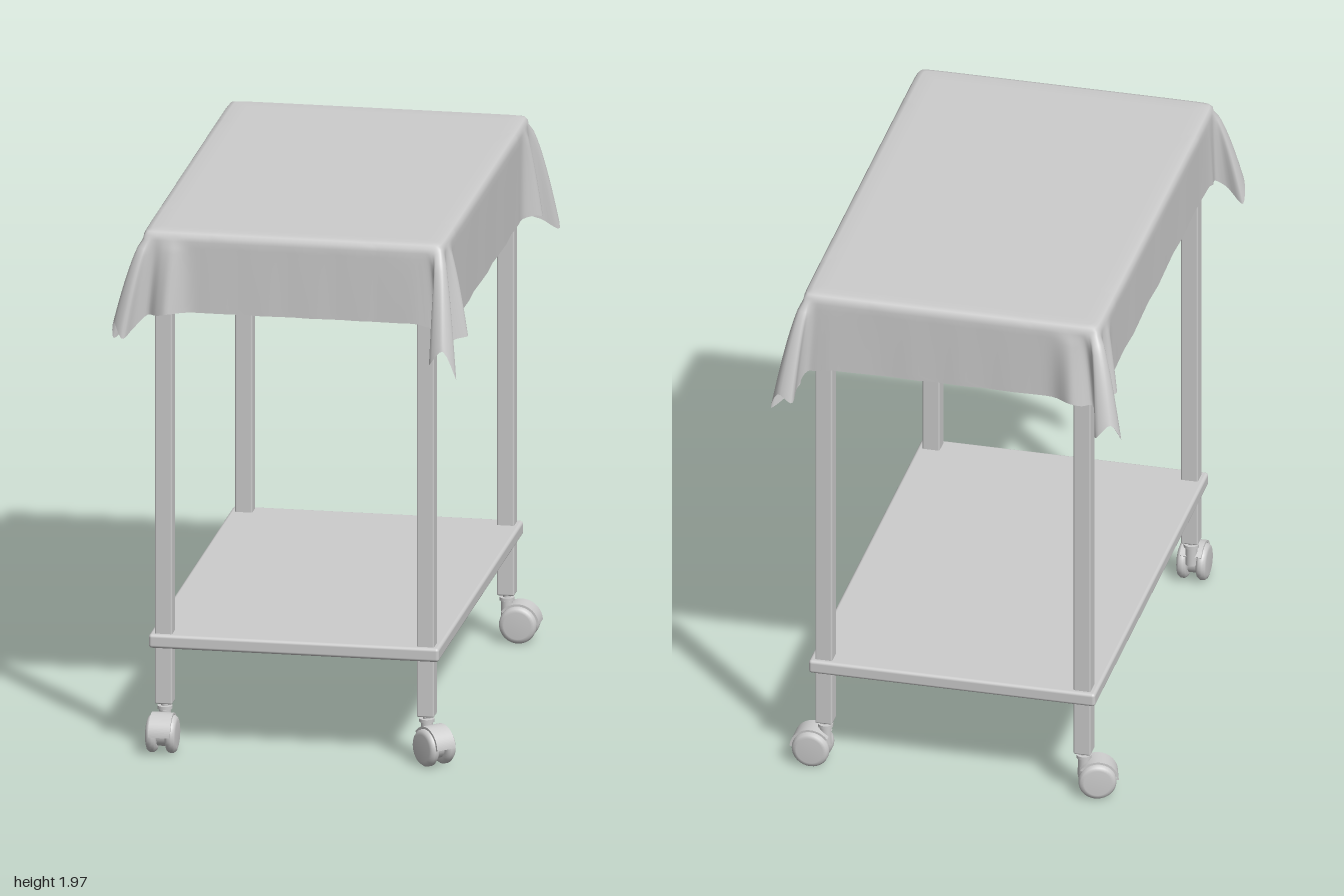
import * as THREE from 'three';
import { RoundedBoxGeometry } from 'three/addons/geometries/RoundedBoxGeometry.js';

const grey = new THREE.MeshStandardMaterial({ color: 0xcccccc, side: THREE.DoubleSide });
grey.name = 'plain grey';

function add(parent, name, geometry, x = 0, y = 0, z = 0) {
  const mesh = new THREE.Mesh(geometry, grey);
  mesh.name = name;
  mesh.position.set(x, y, z);
  parent.add(mesh);
  return mesh;
}

// How the cloth falls at each corner: bulges beside it, reach of the hanging flap, extra drop
const CORNERS = [
  { sx: 1, sz: 1, xBulge: 0.075, zBulge: 0.005, tip: [0.015, 0.1], tipDrop: 0.14 },
  { sx: -1, sz: 1, xBulge: 0.01, zBulge: 0.045, tip: [0.078, 0.04], tipDrop: 0.12 },
  { sx: -1, sz: -1, xBulge: 0.045, zBulge: 0.04, tip: [0.055, 0.085], tipDrop: 0.12 },
  { sx: 1, sz: -1, xBulge: 0.06, zBulge: 0.005, tip: [0.05, 0.092], tipDrop: 0.11 },
];

// Hem outline round a corner: [outward x, extra drop, outward z, position along the edge]
function foldPoints({ xBulge, zBulge, tip: [tx, tz], tipDrop }) {
  const l = Math.hypot(tx, tz), px = 0.05 * tz / l, pz = -0.05 * tx / l;
  return [
    [0, 0, -0.26, -0.26], [0.003, 0, -0.17, -0.18], [xBulge * 0.6, 0, -0.12, -0.14],
    [xBulge, 0.01, -0.085, -0.11], [xBulge * 0.5, 0.015, -0.055, -0.08],
    [0.005, 0.03, -0.02, -0.055], [tx * 0.4 + px * 0.4, 0.06, tz * 0.4 + pz * 0.4, -0.04],
    [tx + px, tipDrop, tz + pz, -0.022], [tx * 1.18, 0.04, tz * 1.18, 0],
    [tx - px, tipDrop - 0.03, tz - pz, 0.022], [tx * 0.4 - px * 0.4, 0.06, tz * 0.4 - pz * 0.4, 0.04],
    [-0.025, 0.015, 0.004, 0.06], [-0.06, 0.01, zBulge * 0.7, 0.09], [-0.1, 0, zBulge, 0.12],
    [-0.17, 0, 0.003, 0.18], [-0.26, 0, 0, 0.26],
  ];
}

// Tablecloth: rings running from the middle of the top, over the edge and down to the hem
function clothGeometry() {
  const W = 0.557, D = 0.882, TOP = 1.97, N = 64, MID = 10;
  const around = [];
  const corners = CORNERS.map((corner, c) => {
    const { sx, sz } = corner, fold = foldPoints(corner);
    const hemCurve = new THREE.CatmullRomCurve3(fold.map(p => new THREE.Vector3(p[0], p[1], p[2])));
    const edgeCurve = new THREE.CatmullRomCurve3(fold.map(p => new THREE.Vector3(p[3], 0, 0)));
    const list = [];
    for (let i = 0; i <= N; i++) {
      const h = hemCurve.getPoint(i / N), e = edgeCurve.getPoint(i / N).x;
      const r = Math.sqrt(e * e + 0.0003);
      const sideDrop = sx > 0 ? 0.35 : 0.29;
      const drop = THREE.MathUtils.lerp(sideDrop, 0.3, THREE.MathUtils.smoothstep(e, -0.06, 0.06));
      list.push([
        sx * (W - (e + r) / 2), sz * (D - (r - e) / 2),
        sx * (W + h.x), sz * (D + h.z), drop + h.y,
      ]);
    }
    return c % 2 ? list.reverse() : list;
  });
  corners.forEach((list, c) => {
    around.push(...list);
    const a = list[N], b = corners[(c + 1) % 4][0];
    for (let i = 1; i < MID; i++) {
      const p = a.map((v, k) => THREE.MathUtils.lerp(v, b[k], i / MID));
      p[c % 2 ? 2 : 3] += 0.003 * Math.sin(i * 2.1 + c);
      around.push(p);
    }
  });

  const pos = [0, TOP, 0], index = [], n = around.length;
  // Rounded top edge as [inset, drop], then the hanging part
  const rings = [[0.08, 0], [0.03, 0], [0.012, 0.006], [0.003, 0.018]].map(([inset, drop]) =>
    p => [p[0] * (1 - inset / W), TOP - drop, p[1] * (1 - inset / D)]);
  for (let j = 0; j <= 12; j++) {
    const k = j / 12, s = Math.pow(k, 0.7);
    rings.push(p => [
      THREE.MathUtils.lerp(p[0], p[2], s),
      TOP - THREE.MathUtils.lerp(0.035, p[4], k),
      THREE.MathUtils.lerp(p[1], p[3], s),
    ]);
  }
  rings.forEach((ring, r) => {
    around.forEach((p, i) => {
      pos.push(...ring(p));
      const next = (i + 1) % n, a = 1 + r * n + i, b = 1 + r * n + next;
      if (r === 0) index.push(0, b, a);
      else index.push(a - n, b - n, a, b - n, b, a);
    });
  });
  const g = new THREE.BufferGeometry();
  g.setAttribute('position', new THREE.Float32BufferAttribute(pos, 3));
  g.setIndex(index);
  g.computeVertexNormals();
  return g;
}

// Twin-wheel caster: swivels about its stem and trails along local +x
function caster(name, x, z, trailX, trailZ) {
  const g = new THREE.Group();
  g.name = name;
  g.position.set(x, 0, z);
  g.rotation.y = Math.atan2(-trailZ, trailX);
  add(g, 'stem', new THREE.CylinderGeometry(0.014, 0.014, 0.07, 16), 0, 0.15, 0);
  add(g, 'collar', new THREE.CylinderGeometry(0.028, 0.028, 0.012, 20), 0, 0.158, 0);
  add(g, 'swivelHousing', new THREE.CylinderGeometry(0.022, 0.022, 0.07, 20), 0, 0.115, 0);

  const wheelProfile = [[0, -0.02], [0.05, -0.02], [0.062, -0.016], [0.069, -0.007],
    [0.069, 0.007], [0.062, 0.016], [0.05, 0.02], [0, 0.02]].map(p => new THREE.Vector2(...p));
  for (const s of [-1, 1]) {
    const wheel = add(g, 'wheel', new THREE.LatheGeometry(wheelProfile, 32), 0.047, 0.07, s * 0.036);
    wheel.rotation.x = Math.PI / 2;
  }
  const axle = add(g, 'axle', new THREE.CylinderGeometry(0.045, 0.045, 0.04, 20), 0.047, 0.07, 0);
  axle.rotation.x = Math.PI / 2;

  // Curved guard over the wheels
  const arc = new THREE.Shape();
  arc.absarc(0, 0, 0.078, 0.05, 2.5, false);
  arc.absarc(0, 0, 0.07, 2.5, 0.05, true);
  const hood = new THREE.ExtrudeGeometry(arc, { depth: 0.08, bevelEnabled: false, curveSegments: 20 });
  add(g, 'wheelGuard', hood, 0.047, 0.07, -0.04);
  return g;
}

export function createModel() {
  const cart = new THREE.Group();
  cart.name = 'rollingCart';
  const frame = new THREE.Group();
  frame.name = 'frame';
  frame.position.x = 0.0075;
  cart.add(frame);

  // Lower shelf and covered top board
  for (const [name, y, thickness] of [['lowerShelf', 0.415, 0.052], ['topBoard', 1.887, 0.068]]) {
    add(frame, name, new RoundedBoxGeometry(1.07, thickness, 1.72, 3, 0.012), 0, y, 0);
  }

  // Legs, each with its caster turned its own way
  const legX = 0.4825, legZ = 0.81;
  const posts = [
    ['frontLeft', 1, 1, 1, 1], ['backLeft', 1, -1, 1, 0],
    ['frontRight', -1, 1, 0, 1], ['backRight', -1, -1, -1, 0.3],
  ];
  for (const [name, sx, sz, tx, tz] of posts) {
    add(frame, name + 'Leg', new RoundedBoxGeometry(0.064, 1.71, 0.064, 2, 0.006),
      sx * legX, 1.03, sz * legZ);
    frame.add(caster(name + 'Caster', sx * legX, sz * legZ, tx, tz));
  }

  add(frame, 'tablecloth', clothGeometry());
  return cart;
}
